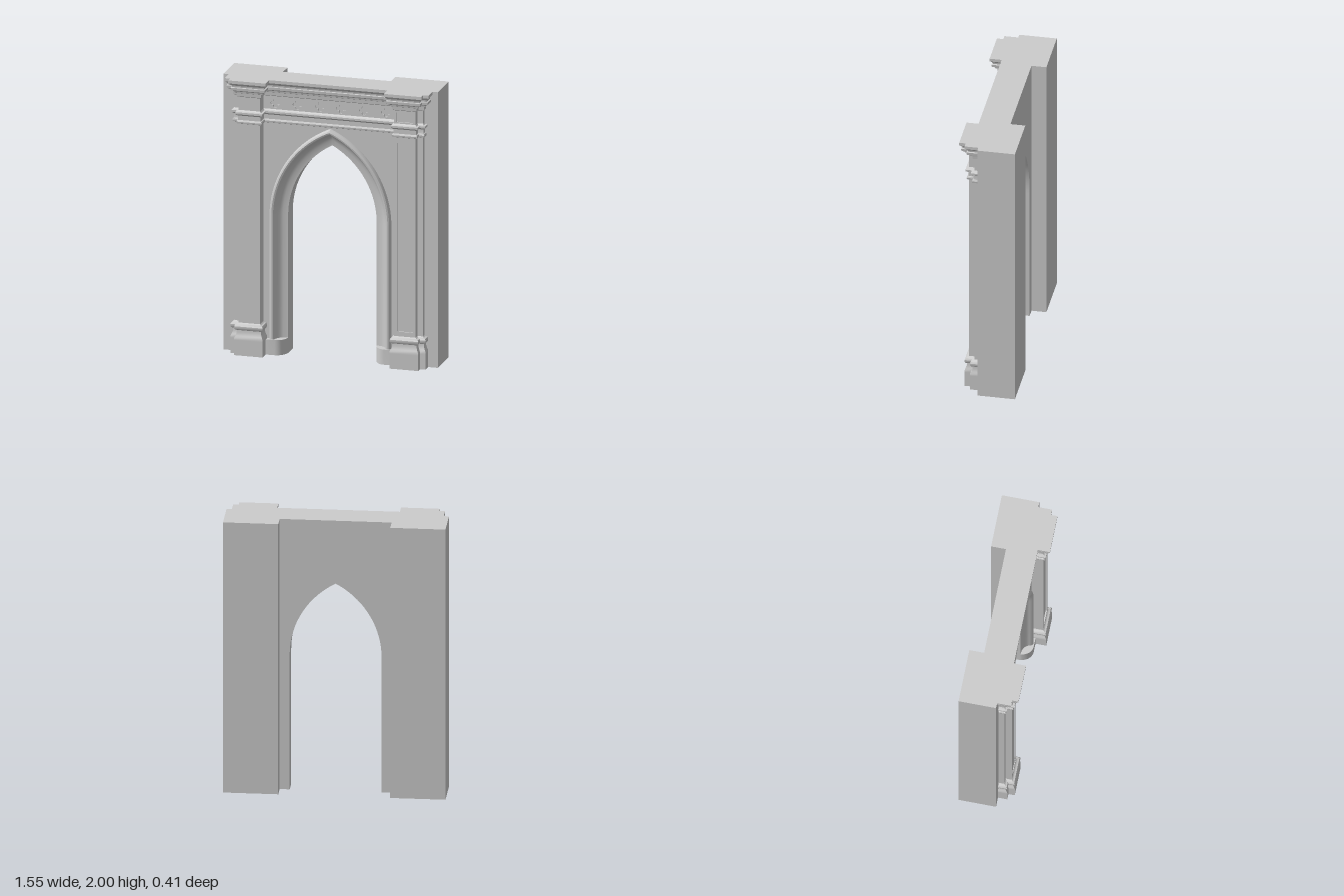
import * as THREE from 'three';
import { toCreasedNormals } from 'three/addons/utils/BufferGeometryUtils.js';

const material = new THREE.MeshStandardMaterial({ color: 0xcccccc });
const SPRING = 1.0, CENTRE = -0.286, HALF = 0.32; // arch springing, arc centre, half opening

// Surface through rows of points: row direction is right, row order is up
function loft(rows) {
  const n = rows[0].length, index = [];
  for (let i = 0; i < rows.length - 1; i++)
    for (let j = 0; j < n - 1; j++) {
      const a = i * n + j, b = a + n;
      index.push(a, a + 1, b + 1, a, b + 1, b);
    }
  const geo = new THREE.BufferGeometry();
  geo.setAttribute('position', new THREE.Float32BufferAttribute(rows.flat(2), 3));
  geo.setIndex(index);
  return toCreasedNormals(geo, 0.5);
}

// Pointed arch outline from left foot to right foot, offset outward by t
function archPath(t) {
  const R = HALF - CENTRE + t, top = Math.acos(-CENTRE / R), half = [[-HALF - t, 0]];
  for (let i = 0; i <= 24; i++) {
    const a = (top * i) / 24;
    half.push([-(CENTRE + R * Math.cos(a)), SPRING + R * Math.sin(a)]);
  }
  half[half.length - 1][0] = 0;
  return [...half, ...half.slice(0, -1).reverse().map(([x, y]) => [-x, y])];
}

// Plan paths as [x, z], running left to right along the front
const pierPlan = [[-0.68, 0], [-0.68, 0.1], [-0.64, 0.1], [-0.64, 0.145], [-0.485, 0.145], [-0.485, 0]];
const mirrorPlan = (p) => p.map(([x, z]) => [-x, z]).reverse();
const leftHalf = [...pierPlan.slice(0, 5), [-0.485, 0.06]];
const fullPlan = [...leftHalf, ...mirrorPlan(leftHalf)];

// Mitred outward offset of a right-angled plan path
function offsetPlan(plan, d) {
  const normal = (i) => {
    if (i < 0 || i >= plan.length - 1) return [0, 0];
    const dx = plan[i + 1][0] - plan[i][0], dz = plan[i + 1][1] - plan[i][1];
    return [-Math.sign(dz), Math.sign(dx)];
  };
  return plan.map(([x, z], i) => {
    const a = normal(i - 1), b = normal(i);
    return [x + d * (a[0] + b[0]), z + d * (a[1] + b[1])];
  });
}

// Moulding: profile of [y, projection] carried along a plan path
const moulding = (plan, profile) =>
  loft(profile.map(([y, d]) => offsetPlan(plan, d).map(([x, z]) => [x, y, z])));

const shapeOf = (pts) => new THREE.Shape(pts.map(([x, y]) => new THREE.Vector2(x, y)));

function slab(shape, z0, z1) {
  const geo = new THREE.ExtrudeGeometry(shape, { depth: z1 - z0, bevelEnabled: false, curveSegments: 10 });
  return toCreasedNormals(geo.translate(0, 0, z0), 0.5);
}

// Plan outline raised from y0 to y1
function planSlab(plan, y0, y1) {
  const geo = new THREE.ExtrudeGeometry(shapeOf(plan.map(([x, z]) => [x, -z])), { depth: y1 - y0, bevelEnabled: false });
  return toCreasedNormals(geo.rotateX(-Math.PI / 2).translate(0, y0, 0), 0.5);
}

function box(x0, x1, y0, y1, z0, z1) {
  return new THREE.BoxGeometry(Math.abs(x1 - x0), y1 - y0, z1 - z0)
    .translate((x0 + x1) / 2, (y0 + y1) / 2, (z0 + z1) / 2);
}

const rect = (x0, x1, y0, y1) => [[x0, y0], [x1, y0], [x1, y1], [x0, y1]];

function quatrefoil(x, y) {
  const path = new THREE.Path(), c = 0.019, r = 0.015;
  for (let k = 0; k < 4; k++) {
    const a = (k * Math.PI) / 2;
    path.absarc(x + c * Math.cos(a), y + c * Math.sin(a), r, a - 1.89, a + 1.89, false);
  }
  return path;
}

const wallShape = (t) =>
  shapeOf([[-0.775, 2], [-0.775, 0], ...archPath(t), [0.775, 0], [0.775, 2]]);

export function createModel() {
  const model = new THREE.Group();
  model.name = 'archway';
  const add = (name, geo, parent = model) => {
    const mesh = new THREE.Mesh(geo, material);
    mesh.name = name;
    parent.add(mesh);
  };

  // Wall in two layers: narrow opening behind, wide opening with pierced frieze in front
  add('wallBack', slab(wallShape(0), -0.1, 0.015));
  const front = wallShape(0.12);
  for (const x of [-0.4, -0.24, -0.075, 0.075, 0.24, 0.4]) front.holes.push(quatrefoil(x, 1.82));
  add('wallFront', slab(front, 0.015, 0.06));
  add('friezeRecess', box(-0.47, 0.47, 1.77, 1.87, 0.016, 0.047));

  // Arch moulding: outer bead, then a hollow down to the reveal
  const archProfile = [[0.12, 0.06], [0.118, 0.074], [0.111, 0.085], [0.1, 0.09], [0.089, 0.086],
    [0.081, 0.075], [0.078, 0.062], [0.07, 0.045], [0.055, 0.03], [0.035, 0.02], [0, 0.015]];
  const lines = archProfile.map(([t, z]) => archPath(t).map(([x, y]) => [x, y, z]));
  add('archMoulding', loft(lines[0].map((_, i) => lines.map((line) => line[i]))));

  for (const s of [1, -1]) {
    const pier = new THREE.Group();
    pier.name = s > 0 ? 'leftPier' : 'rightPier';
    model.add(pier);
    const plan = s > 0 ? mirrorPlan(pierPlan) : pierPlan;

    // Rear buttress
    add('buttress', box(s * 0.39, s * 0.775, 0, 2, -0.205, -0.1), pier);

    // Pilaster with sunk panels and a stepped side strip
    const shaft = shapeOf(rect(s * 0.485, s * 0.64, 0.1, 1.95));
    shaft.holes.push(shapeOf(rect(s * 0.505, s * 0.62, 0.265, 1.635)));
    shaft.holes.push(shapeOf(rect(s * 0.502, s * 0.622, 1.785, 1.855)));
    add('pilaster', slab(shaft, 0.05, 0.145), pier);
    add('panelRecess', box(s * 0.49, s * 0.635, 0.2, 1.9, 0.05, 0.135), pier);
    add('sideStrip', box(s * 0.63, s * 0.68, 0.1, 1.95, 0.05, 0.1), pier);

    // Plinth and moulded base
    add('plinth', planSlab(offsetPlan(plan, 0.026), 0, 0.11), pier);
    add('baseMoulding', moulding(plan, [[0.11, 0.026], [0.125, 0.026], [0.14, 0.018], [0.16, 0.011],
      [0.18, 0.01], [0.185, 0.02], [0.197, 0.026], [0.21, 0.026], [0.22, 0.02], [0.224, 0.008], [0.232, 0]]), pier);

    // Rounded foot under the arch moulding
    const curve = new THREE.QuadraticBezierCurve(new THREE.Vector2(0.395, 0.095),
      new THREE.Vector2(0.335, 0.09), new THREE.Vector2(HALF, 0.015));
    const foot = [[0.5, 0.014], [0.5, 0.095], ...curve.getPoints(10).map((p) => [p.x, p.y]), [HALF, 0.014]];
    add('jambPlinth', planSlab(foot.map(([x, z]) => [s * x, z]), 0, 0.11), pier);
  }

  // String course below the frieze
  add('stringCourse', moulding(fullPlan, [[1.675, 0], [1.68, 0.012], [1.692, 0.014], [1.7, 0.01], [1.703, 0.004],
    [1.735, 0.004], [1.742, 0.012], [1.748, 0.021], [1.762, 0.021], [1.766, 0.008], [1.775, 0]]));

  // Cornice and its flat top
  add('cornice', moulding(fullPlan, [[1.87, 0], [1.876, 0.01], [1.9, 0.012], [1.905, 0.024], [1.915, 0.026],
    [1.92, 0.032], [1.926, 0.045], [1.945, 0.047], [1.948, 0.038], [1.96, 0.04], [1.972, 0.05], [1.98, 0.057]]));
  add('corniceTop', planSlab(offsetPlan(fullPlan, 0.058), 1.978, 2));

  return model;
}
